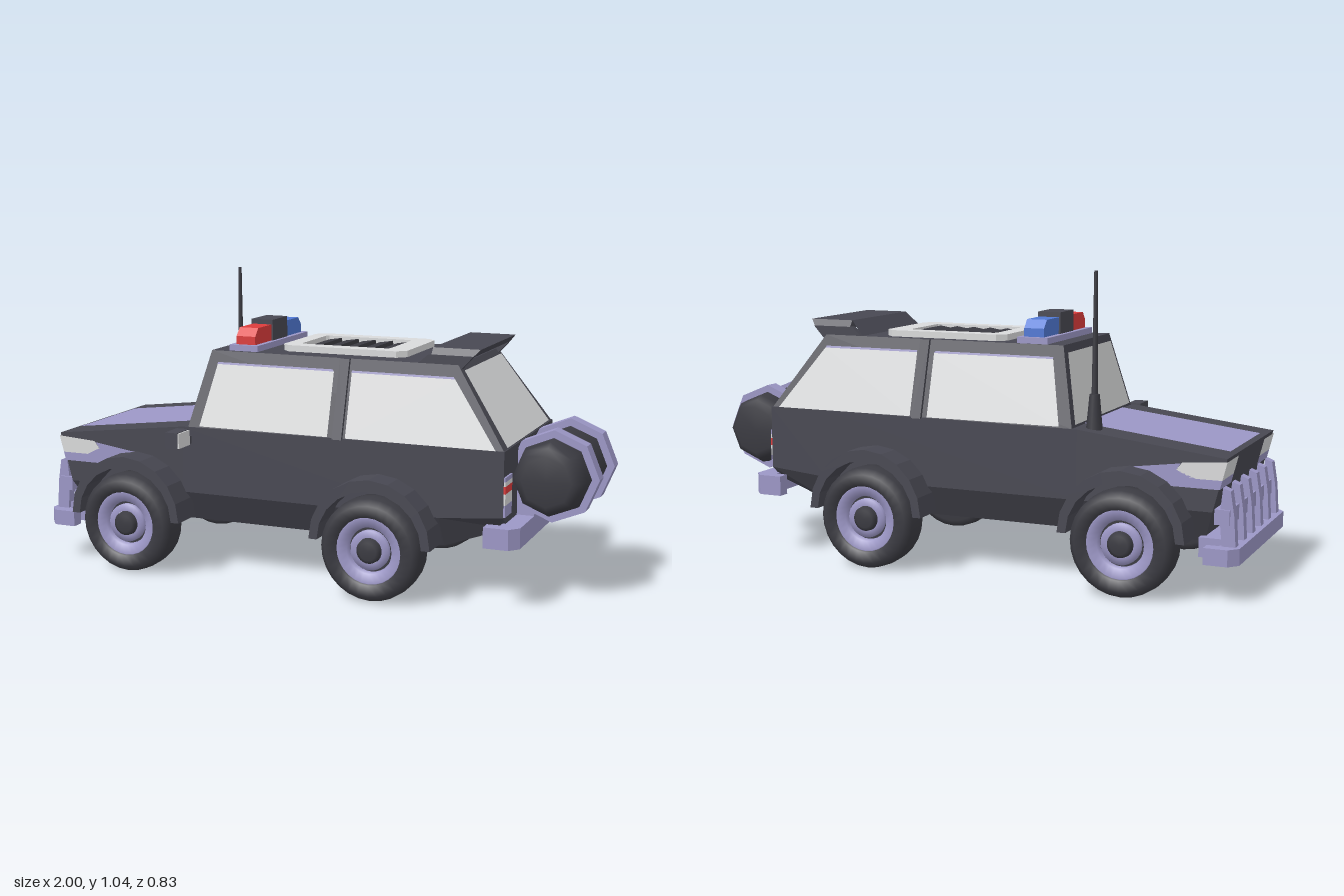
import * as THREE from 'three';

const mat = (name, color, side = THREE.FrontSide) => {
  const m = new THREE.MeshStandardMaterial({ color, side });
  m.name = name;
  return m;
};

export function createModel() {
  const car = new THREE.Group();
  car.name = 'patrolCar';
  const body = mat('charcoal', 0x484852);
  const tyre = mat('tyreBlack', 0x3b3b42);
  const trim = mat('lavender', 0x9c97c6, THREE.DoubleSide);
  const light = mat('paleGrey', 0xd9dadb, THREE.DoubleSide);
  const red = mat('red', 0xdc3c3c, THREE.DoubleSide);
  const blue = mat('blue', 0x5078d4);

  const add = (name, geo, m, x = 0, y = 0, z = 0) => {
    const mesh = new THREE.Mesh(geo, m);
    mesh.name = name;
    mesh.position.set(x, y, z);
    car.add(mesh);
    return mesh;
  };
  // Box given by its limits
  const box = (name, m, x0, x1, y0, y1, z0, z1) =>
    add(name, new THREE.BoxGeometry(x1 - x0, y1 - y0, z1 - z0), m, (x0 + x1) / 2, (y0 + y1) / 2, (z0 + z1) / 2);

  const fromTriangles = (tris) => {
    const g = new THREE.BufferGeometry();
    g.setAttribute('position', new THREE.Float32BufferAttribute(tris.flat(2), 3));
    g.computeVertexNormals();
    return g;
  };
  // Flat-faced solid through matching closed rings, turned outward by its signed volume
  const loft = (rings) => {
    const tris = [], n = rings[0].length, last = rings[rings.length - 1];
    for (let r = 0; r < rings.length - 1; r++)
      for (let i = 0; i < n; i++) {
        const j = (i + 1) % n, a = rings[r], b = rings[r + 1];
        tris.push([a[i], a[j], b[j]], [a[i], b[j], b[i]]);
      }
    for (let i = 1; i < n - 1; i++)
      tris.push([rings[0][0], rings[0][i + 1], rings[0][i]], [last[0], last[i], last[i + 1]]);
    const v = (p) => new THREE.Vector3(...p);
    const volume = tris.reduce((s, [a, b, c]) => s + v(a).dot(v(b).cross(v(c))), 0);
    return fromTriangles(volume < 0 ? tris.map(([a, b, c]) => [a, c, b]) : tris);
  };
  // Thin convex face
  const panel = (name, m, pts) =>
    add(name, fromTriangles(pts.slice(2).map((p, i) => [pts[0], pts[i + 1], p])), m);
  // Shape in x and y, extruded along z
  const extrude = (pts, depth) => new THREE.ExtrudeGeometry(
    new THREE.Shape(pts.map((p) => new THREE.Vector2(...p))), { depth, bevelEnabled: false });

  // Lower body: sections run from nose to tail, each with bottom, sill and belt
  const section = ([xb, yb], [xs, ys], [xt, yt]) => [
    [xb, yb, -0.24], [xs, ys, -0.305], [xt, yt, -0.305], [xt, yt, 0.305], [xs, ys, 0.305], [xb, yb, 0.24]];
  add('lowerBody', loft([
    section([-0.87, 0.18], [-0.91, 0.29], [-0.955, 0.465]),
    section([-0.45, 0.18], [-0.45, 0.29], [-0.45, 0.525]),
    section([0.5, 0.18], [0.5, 0.29], [0.5, 0.53]),
    section([0.72, 0.26], [0.72, 0.31], [0.72, 0.53])]), body);

  // Tapered cabin
  const level = (y, x0, x1, z) => [[x0, y, -z], [x1, y, -z], [x1, y, z], [x0, y, z]];
  add('cabin', loft([level(0.525, -0.43, 0.72, 0.3), level(0.79, -0.37, 0.535, 0.225)]), body);
  const cabinZ = (y, out) => 0.3 - (y - 0.525) * 0.283 + out;

  // Glass
  const glassFront = (y) => -0.435 + (y - 0.525) * 0.226;
  const glassRear = (y) => 0.725 - (y - 0.525) * 0.698;
  const endGlass = (name, at, y0, z0, y1, z1) =>
    panel(name, light, [[at(y0), y0, z0], [at(y0), y0, -z0], [at(y1), y1, -z1], [at(y1), y1, z1]]);
  endGlass('windscreen', glassFront, 0.535, 0.275, 0.765, 0.21);
  endGlass('rearWindow', glassRear, 0.535, 0.262, 0.772, 0.212);
  const sideWindows = [
    [[-0.385, 0.53], [0.1, 0.53], [0.1, 0.745], [-0.34, 0.745]],
    [[0.165, 0.53], [0.69, 0.53], [0.53, 0.745], [0.165, 0.745]]];

  // Hood panel
  const hoodY = (x) => 0.465 + (x + 0.955) * 0.1188 + 0.003;
  panel('hoodPanel', trim, [[-0.935, hoodY(-0.935), 0.195], [-0.435, hoodY(-0.435), 0.195],
    [-0.435, hoodY(-0.435), -0.195], [-0.935, hoodY(-0.935), -0.195]]);

  // Wheel: tyre, stepped rim and hub, turned around the axle
  const lathe = (pts, n) => new THREE.LatheGeometry(pts.map((p) => new THREE.Vector2(...p)), n);
  const wheelParts = [
    ['tyre', tyre, [[0, -0.062], [0.15, -0.062], [0.175, -0.04], [0.178, 0], [0.175, 0.04], [0.155, 0.062], [0.116, 0.062], [0.112, 0.03]]],
    ['rim', trim, [[0.116, 0.05], [0.112, 0.055], [0.08, 0.048], [0.076, 0.025]]],
    ['rimGap', tyre, [[0.078, 0.026], [0.066, 0.026]]],
    ['rimCentre', trim, [[0.068, 0.02], [0.068, 0.044], [0.044, 0.044]]],
    ['hub', tyre, [[0.045, 0.02], [0.042, 0.055], [0.03, 0.062], [0, 0.062]]]];
  // Arch band over a wheel
  const arch = [];
  for (let i = 0; i <= 10; i++) {
    const a = (i / 10) * Math.PI;
    arch.push([0.215 * Math.cos(a), 0.2 + 0.22 * Math.sin(a)]);
  }
  for (let i = 10; i >= 0; i--) {
    const a = (i / 10) * Math.PI;
    arch.push([0.185 * Math.cos(a), 0.2 + 0.18 * Math.sin(a)]);
  }

  for (const s of [1, -1]) {
    for (const x of [-0.635, 0.29]) {
      for (const [name, m, pts] of wheelParts)
        add(name, lathe(pts, 28), m, x, 0.178, s * 0.348).rotation.x = s * Math.PI / 2;
      add('wheelArch', extrude(arch, 0.125), body, x, 0, s > 0 ? 0.28 : -0.405);
    }
    for (const w of sideWindows) {
      panel('sideWindow', light, w.map(([x, y]) => [x, y, s * cabinZ(y, 0.004)]));
      const [, , b, a] = w;
      panel('windowTrim', trim, [[a[0], 0.745], [b[0], 0.745], [b[0] - 0.005, 0.752], [a[0], 0.752]]
        .map(([x, y]) => [x, y, s * cabinZ(y, 0.005)]));
    }
    // Centre pillar
    add('centrePillar', loft([0.525, 0.79].map((y) => [[0.12, -0.02], [0.155, -0.02], [0.155, 0.012], [0.12, 0.012]]
      .map(([x, o]) => [x, y, s * cabinZ(y, o)]))), body);

    // Headlamp wrapping the corner, with trim below
    const noseX = (y) => -0.914 - (y - 0.29) * 0.257;
    const nose = (name, m, y0, y1, zi) => panel(name, m,
      [[noseX(y0), y0, s * zi], [noseX(y0), y0, s * 0.308], [noseX(y1), y1, s * 0.308], [noseX(y1), y1, s * zi]]);
    nose('headlamp', light, 0.395, 0.455, 0.17);
    nose('headlampTrim', trim, 0.365, 0.395, 0.17);
    const flank = (name, m, pts) => panel(name, m, pts.map(([x, y]) => [x, y, s * 0.309]));
    flank('headlampSide', light, [[noseX(0.395), 0.395], [-0.84, 0.395], [-0.79, 0.42], [-0.81, 0.445], [noseX(0.455), 0.455]]);
    flank('sideTrim', trim, [[noseX(0.365), 0.365], [-0.75, 0.365], [-0.75, 0.42], [-0.79, 0.42], [-0.84, 0.395], [noseX(0.395), 0.395]]);
    flank('sideTrimTail', trim, [[-0.79, 0.42], [-0.75, 0.385], [-0.58, 0.41], [-0.805, 0.441]]);

    // Banded tail lamp
    for (const [m, y0, y1] of [[trim, 0.43, 0.445], [light, 0.415, 0.43], [red, 0.39, 0.415], [light, 0.352, 0.39], [trim, 0.312, 0.352]])
      box('tailLamp', m, 0.718, 0.726, y0, y1, Math.min(s * 0.225, s * 0.304), Math.max(s * 0.225, s * 0.304));

    // Tank strap and its bracket
    const strap = new THREE.CylinderGeometry(0.156, 0.156, 0.055, 8).toNonIndexed();
    strap.computeVertexNormals();
    add('tankStrap', strap, trim, 0.84, 0.425, s * 0.113).rotation.x = Math.PI / 2;
    box('tankBracket', trim, 0.715, 0.78, 0.26, 0.45, s * 0.113 - 0.027, s * 0.113 + 0.027);
  }

  // Rear tank with rounded ends
  add('rearTank', lathe([[0, -0.233], [0.085, -0.233], [0.11, -0.215], [0.125, -0.185], [0.13, -0.15],
    [0.13, 0.15], [0.125, 0.185], [0.11, 0.215], [0.085, 0.233], [0, 0.233]], 8), tyre, 0.84, 0.425, 0).rotation.x = Math.PI / 2;

  // Bumpers that wrap the corners, drawn in plan
  const bumper = (name, xIn, xMid, xOut, w, y0, y1) => {
    const c = xOut - Math.sign(xOut) * 0.03;
    const g = extrude([[xIn, -w], [c, -w], [xOut, 0.035 - w], [xOut, w - 0.035], [c, w], [xIn, w],
      [xIn, w - 0.045], [xMid, w - 0.045], [xMid, 0.045 - w], [xIn, 0.045 - w]], y1 - y0);
    add(name, g.rotateX(Math.PI / 2), trim, 0, y1, 0);
  };
  bumper('rearBumper', 0.665, 0.71, 0.78, 0.345, 0.215, 0.285);
  bumper('frontBumper', -0.89, -0.93, -1, 0.335, 0.125, 0.18);
  box('frontBumperMount', trim, -0.95, -0.86, 0.135, 0.2, -0.28, 0.28);

  // Bull bar
  for (let i = 0; i < 6; i++)
    add('bullBarSlat', extrude([[-0.985, 0.17], [-0.94, 0.17], [-0.93, 0.28], [-0.94, 0.37], [-0.965, 0.36], [-0.978, 0.28]], 0.035),
      trim, 0, 0, -0.2925 + i * 0.11);
  box('bullBarRail', trim, -0.965, -0.915, 0.25, 0.3, -0.3, 0.3);

  // Roof vent: rounded frame, dark well and slats
  const roundRect = (Type, x0, x1, y0, y1, r) => {
    const s = new Type();
    s.moveTo(x0 + r, y0).lineTo(x1 - r, y0).lineTo(x1, y0 + r).lineTo(x1, y1 - r);
    s.lineTo(x1 - r, y1).lineTo(x0 + r, y1).lineTo(x0, y1 - r).lineTo(x0, y0 + r).closePath();
    return s;
  };
  const frame = roundRect(THREE.Shape, -0.14, 0.32, -0.19, 0.15, 0.03);
  frame.holes.push(roundRect(THREE.Path, -0.085, 0.245, -0.135, 0.095, 0.01));
  add('ventFrame', new THREE.ExtrudeGeometry(frame, { depth: 0.03, bevelEnabled: false }).rotateX(Math.PI / 2), light, 0, 0.812, 0);
  for (let i = 0; i < 5; i++)
    add('ventSlat', extrude([[0, 0.788], [0.06, 0.788], [0.056, 0.806], [0.006, 0.798]], 0.23), tyre, -0.083 + i * 0.066, 0, -0.135);

  // Light bar
  box('lightBarBase', trim, -0.31, -0.2, 0.785, 0.811, -0.22, 0.21);
  box('lightBarCentre', body, -0.296, -0.213, 0.805, 0.885, -0.066, 0.058);
  const lamp = (name, m, zi, zo) => add(name, loft([
    [0.805, zo], [0.84, zo], [0.868, zo + Math.sign(zi - zo) * 0.025], [0.868, zi], [0.805, zi]]
    .reduce((r, [y, z]) => { r[0].push([-0.29, y, z]); r[1].push([-0.218, y, z]); return r; }, [[], []])), m);
  lamp('redLamp', red, 0.055, 0.192);
  lamp('blueLamp', blue, -0.062, -0.2);

  // Rear spoiler: ramp, wing and side cheeks, open underneath
  panel('spoilerRamp', body, [[0.385, 0.785, -0.225], [0.385, 0.785, 0.225], [0.44, 0.842, 0.205], [0.44, 0.842, -0.205]]);
  add('spoilerWing', loft([[0.44, 0.842, 0.815], [0.605, 0.842, 0.815]].map(([x, t, b], i) =>
    [[x, t, -0.205], [x, t, 0.205], [x - i * 0.025, b, 0.225], [x - i * 0.025, b, -0.225]])), body);
  for (const z of [-0.225, 0.203])
    add('spoilerCheek', extrude([[0.385, 0.78], [0.535, 0.765], [0.585, 0.82], [0.43, 0.82]], 0.022), body, 0, 0, z);

  // Aerial
  add('aerialBase', new THREE.CylinderGeometry(0.017, 0.028, 0.12, 10), tyre, -0.485, 0.575, -0.235);
  add('aerial', new THREE.CylinderGeometry(0.006, 0.011, 0.42, 8), tyre, -0.485, 0.83, -0.235);

  // Wing mirror on the driver's side only
  box('mirrorArm', body, -0.44, -0.415, 0.468, 0.495, 0.3, 0.345);
  box('mirrorHousing', body, -0.455, -0.408, 0.468, 0.525, 0.338, 0.422);
  box('mirrorGlass', light, -0.409, -0.403, 0.47, 0.523, 0.34, 0.42);

  car.children.forEach((c) => { c.position.z -= 0.004; });
  return car;
}
